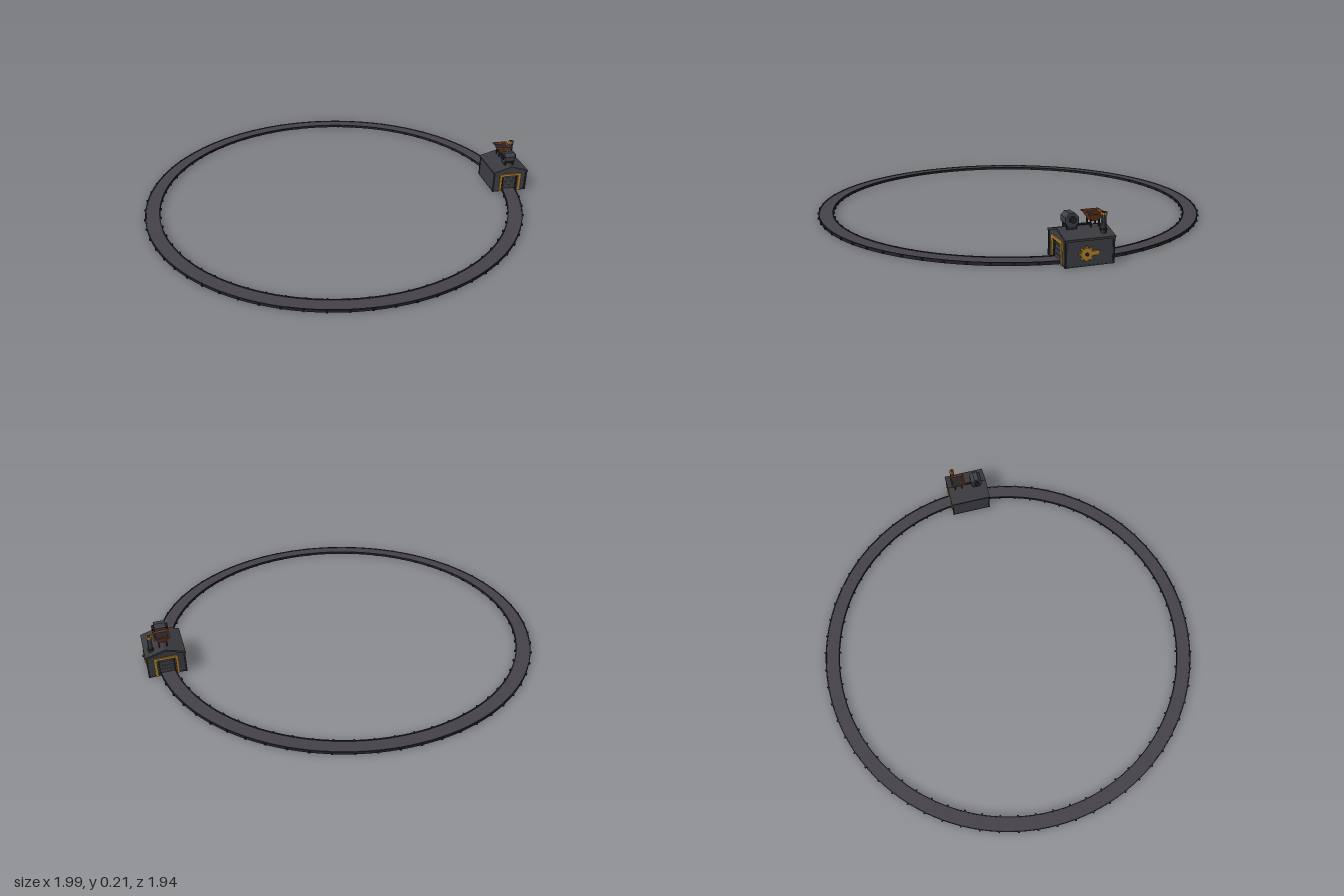
import * as THREE from 'three';

const mat = (name, color, extra = {}) => {
  const m = new THREE.MeshStandardMaterial({ color, flatShading: true, ...extra });
  m.name = name;
  return m;
};

export function createModel() {
  const M = {
    bed: mat('track grey', 0x45434a),
    dark: mat('dark iron', 0x25252a),
    wall: mat('wall grey', 0x3e4046),
    roof: mat('roof grey', 0x3a393f),
    steel: mat('steel', 0x50545b),
    gold: mat('brass', 0xb5852a),
    rust: mat('rust', 0x8a4a26, { side: THREE.DoubleSide }),
  };
  const model = new THREE.Group();
  const add = (parent, name, geo, m, x = 0, y = 0, z = 0) => {
    const mesh = new THREE.Mesh(geo, m);
    mesh.name = name;
    mesh.position.set(x, y, z);
    parent.add(mesh);
    return mesh;
  };
  const box = (p, name, m, w, h, d, x, y, z) => add(p, name, new THREE.BoxGeometry(w, h, d), m, x, y, z);
  const cyl = (p, name, m, r1, r2, h, x, y, z, n = 10) =>
    add(p, name, new THREE.CylinderGeometry(r1, r2, h, n), m, x, y, z);

  // Circular track: bed, two rims and studs on both edges
  const track = new THREE.Group();
  track.name = 'track';
  track.position.x = -0.027;
  model.add(track);
  const ring = (name, m, r0, r1, y0, y1) => add(track, name, new THREE.LatheGeometry(
    [[r0, y0], [r1, y0], [r1, y1], [r0, y1], [r0, y0]].map(([r, y]) => new THREE.Vector2(r, y)), 128), m);
  ring('trackBed', M.bed, 0.894, 0.961, 0, 0.012);
  ring('outerRim', M.dark, 0.958, 0.963, 0.002, 0.015);
  ring('innerRim', M.dark, 0.891, 0.896, 0.002, 0.015);
  const studs = 64;
  for (let i = 0; i < studs; i++) {
    const a = (i / studs) * Math.PI * 2;
    for (const r of [0.888, 0.965]) {
      const s = box(track, 'stud', M.dark, 0.008, 0.01, 0.008, Math.cos(a) * r, 0.008, Math.sin(a) * r);
      s.rotation.y = -a;
    }
  }

  // Engine house straddling the track
  const house = new THREE.Group();
  house.name = 'house';
  house.position.x = 0.897;
  model.add(house);
  box(house, 'floor', M.wall, 0.18, 0.005, 0.208, 0, 0.0035, 0);
  for (const s of [-1, 1]) {
    box(house, 'sideWall', M.wall, 0.008, 0.11, 0.204, s * 0.085, 0.056, 0);
    for (const e of [-1, 1]) box(house, 'cornerPost', M.dark, 0.008, 0.108, 0.008, s * 0.087, 0.055, e * 0.102);
  }

  // Gable walls, each with a doorway, brass frame and recessed shutter
  const gable = new THREE.Shape();
  [[-0.085, 0.001], [-0.044, 0.001], [-0.044, 0.088], [0.044, 0.088], [0.044, 0.001],
    [0.085, 0.001], [0.085, 0.11], [0, 0.136], [-0.085, 0.11]]
    .forEach(([x, y], i) => (i ? gable.lineTo(x, y) : gable.moveTo(x, y)));
  const gableGeo = new THREE.ExtrudeGeometry(gable, { depth: 0.008, bevelEnabled: false });
  for (const e of [0, 1]) {
    const end = new THREE.Group();
    end.name = e ? 'backEnd' : 'frontEnd';
    end.rotation.y = e * Math.PI;
    house.add(end);
    add(end, 'gableWall', gableGeo, M.wall, 0, 0, 0.094);
    for (const s of [-1, 1]) {
      box(end, 'doorPost', M.gold, 0.012, 0.092, 0.008, s * 0.05, 0.049, 0.104);
      box(end, 'shutterRail', M.dark, 0.006, 0.08, 0.006, s * 0.036, 0.044, 0.1);
    }
    box(end, 'doorLintel', M.gold, 0.112, 0.012, 0.008, 0, 0.094, 0.104);
    box(end, 'shutter', M.wall, 0.088, 0.076, 0.004, 0, 0.05, 0.095);
    for (const y of [0.03, 0.05, 0.07]) box(end, 'shutterSlat', M.steel, 0.066, 0.004, 0.004, 0, y, 0.098);
  }

  // Pitched roof
  const roof = new THREE.Shape();
  [[-0.094, 0.106], [0, 0.134], [0.094, 0.106], [0.094, 0.115], [0, 0.143], [-0.094, 0.115]]
    .forEach(([x, y], i) => (i ? roof.lineTo(x, y) : roof.moveTo(x, y)));
  add(house, 'roof', new THREE.ExtrudeGeometry(roof, { depth: 0.216, bevelEnabled: false }), M.roof, 0, 0, -0.108);

  // Brass gear with a tapered arm on the outer wall
  const gear = new THREE.Group();
  gear.name = 'gearEmblem';
  gear.position.set(0.092, 0.052, 0.016);
  house.add(gear);
  cyl(gear, 'gearDisc', M.gold, 0.025, 0.025, 0.008, 0, 0, 0, 16).rotation.z = Math.PI / 2;
  for (let i = 0; i < 8; i++) {
    const a = (i / 8) * Math.PI * 2;
    box(gear, 'gearTooth', M.gold, 0.007, 0.009, 0.009, 0, Math.sin(a) * 0.027, Math.cos(a) * 0.027).rotation.x = -a;
  }
  box(gear, 'gearArm', M.gold, 0.007, 0.018, 0.036, 0, 0.002, -0.036);
  cyl(gear, 'gearHub', M.dark, 0.007, 0.007, 0.012, 0.003, 0, 0).rotation.z = Math.PI / 2;

  // Drum lying across the ridge on a cradle
  const drum = new THREE.Group();
  drum.name = 'drum';
  drum.position.set(0, 0.174, 0.051);
  house.add(drum);
  const barrel = new THREE.CylinderGeometry(0.031, 0.031, 0.054, 8);
  barrel.rotateY(Math.PI / 8).rotateZ(Math.PI / 2);
  add(drum, 'barrel', barrel, M.wall);
  cyl(drum, 'axle', M.dark, 0.014, 0.014, 0.076, 0, 0.003, 0).rotation.z = Math.PI / 2;
  for (const s of [-1, 1]) box(drum, 'cradle', M.dark, 0.008, 0.03, 0.044, s * 0.02, -0.034, 0);

  // Open hopper on four legs
  const hopper = new THREE.Group();
  hopper.name = 'hopper';
  hopper.position.set(0.002, 0, -0.05);
  house.add(hopper);
  const funnel = new THREE.CylinderGeometry(0.05, 0.022, 0.034, 4, 1, true);
  funnel.rotateY(Math.PI / 4);
  add(hopper, 'funnel', funnel, M.rust, 0, 0.177, 0);
  box(hopper, 'hopperFill', M.dark, 0.058, 0.003, 0.058, 0, 0.188, 0);
  for (const s of [-1, 1]) {
    box(hopper, 'hopperRim', M.rust, 0.076, 0.006, 0.005, 0, 0.195, s * 0.035);
    box(hopper, 'hopperRim', M.rust, 0.005, 0.006, 0.076, s * 0.035, 0.195, 0);
    for (const e of [-1, 1]) box(hopper, 'hopperLeg', M.dark, 0.005, 0.045, 0.005, s * 0.018, 0.148, e * 0.018);
  }

  // Chimney with brass cap
  cyl(house, 'chimney', M.wall, 0.011, 0.012, 0.09, 0.061, 0.157, -0.068);
  cyl(house, 'chimneyBand', M.dark, 0.015, 0.015, 0.008, 0.061, 0.138, -0.068);
  cyl(house, 'chimneyCap', M.gold, 0.014, 0.014, 0.01, 0.061, 0.202, -0.068);
  cyl(house, 'chimneyMouth', M.dark, 0.009, 0.009, 0.002, 0.061, 0.2075, -0.068);

  // Low pipe along the ridge between drum and hopper
  cyl(house, 'ridgePipe', M.dark, 0.005, 0.005, 0.09, 0, 0.147, 0.005, 8).rotation.x = Math.PI / 2;
  return model;
}
